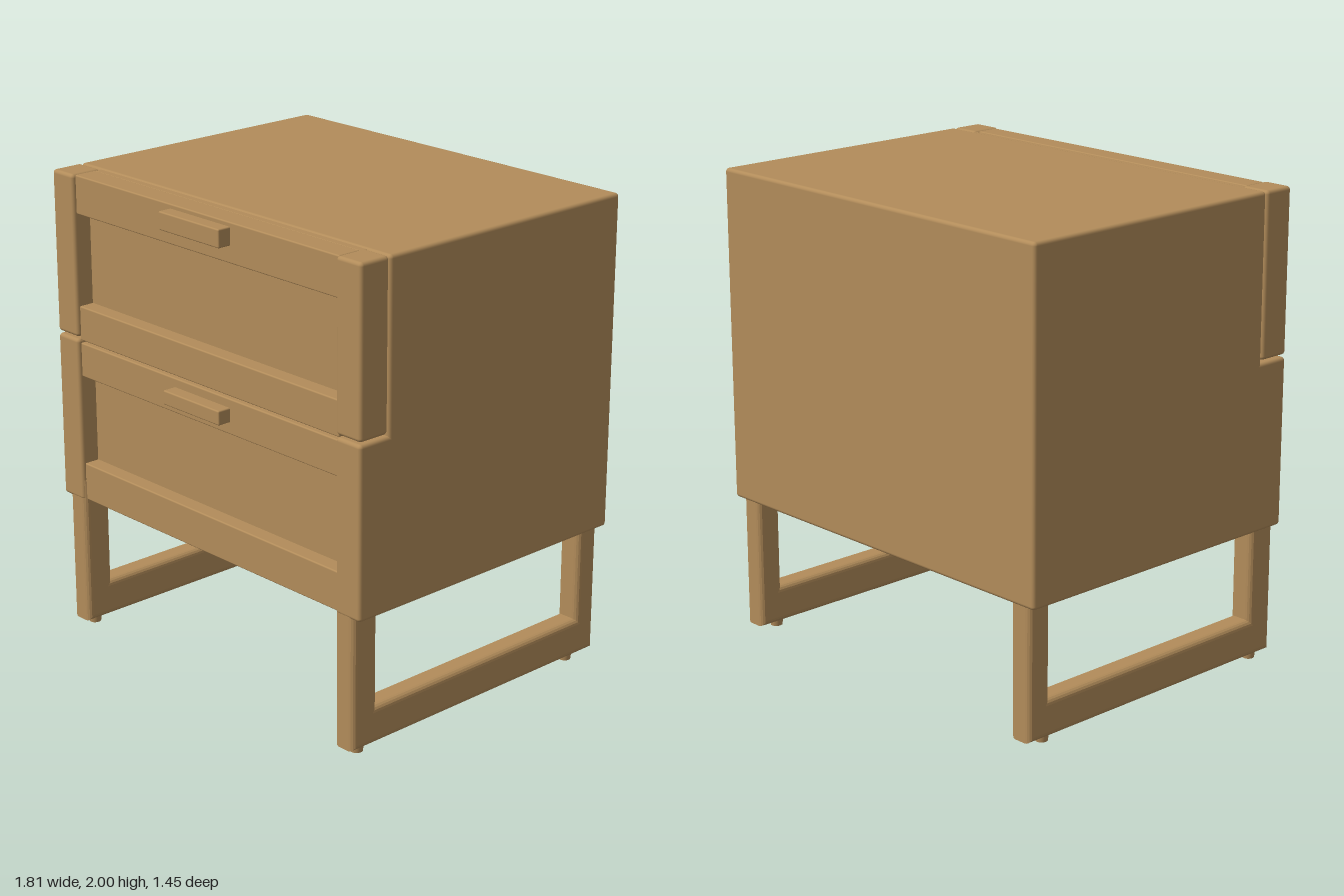
import * as THREE from 'three';
import { RoundedBoxGeometry } from 'three/addons/geometries/RoundedBoxGeometry.js';

export function createModel() {
  const model = new THREE.Group();
  model.name = 'nightstand';
  const wood = new THREE.MeshStandardMaterial({ color: 0xb28c5a });
  wood.name = 'oak wood';

  const add = (name, geometry, parent = model) => {
    const mesh = new THREE.Mesh(geometry, wood);
    mesh.name = name;
    parent.add(mesh);
    return mesh;
  };
  // Rounded block given by its extents on each axis
  const block = (name, [x0, x1], [y0, y1], [z0, z1], radius, parent) => {
    const geometry = new RoundedBoxGeometry(x1 - x0, y1 - y0, z1 - z0, 3, radius);
    geometry.translate((x0 + x1) / 2, (y0 + y1) / 2, (z0 + z1) / 2);
    return add(name, geometry, parent);
  };
  // Extents mirrored to one side
  const mirrored = (side, a, b) => (side > 0 ? [a, b] : [-b, -a]);

  // Cabinet body with a slightly recessed underside
  block('carcass', [-0.905, 0.905], [0.615, 2], [-0.72, 0.535], 0.015);
  block('drawerCore', [-0.78, 0.78], [0.615, 1.995], [0.4, 0.562], 0.004);
  block('backSkirt', [-0.905, 0.905], [0.59, 0.72], [-0.72, -0.67], 0.015);

  // Drawer fronts: recessed panel, two rails and a bar handle
  const drawers = [
    { name: 'upperDrawer', bottom: 1.298, ledge: 1.445, lintel: 1.835, top: 1.998,
      handle: [[-0.18, 0.175], [1.905, 1.98]] },
    { name: 'lowerDrawer', bottom: 0.592, ledge: 0.755, lintel: 1.14, top: 1.287,
      handle: [[-0.175, 0.16], [1.19, 1.25]] },
  ];
  for (const d of drawers) {
    const drawer = new THREE.Group();
    drawer.name = d.name;
    model.add(drawer);
    const width = [-0.775, 0.775];
    block('panel', width, [d.bottom + 0.02, d.top - 0.02], [0.55, 0.6], 0.003, drawer);
    block('bottomRail', width, [d.bottom, d.ledge], [0.565, 0.667], 0.006, drawer);
    block('topRail', width, [d.lintel, d.top], [0.565, 0.667], 0.006, drawer);
    block('handle', ...d.handle, [0.65, 0.725], 0.006, drawer);
  }

  // Sled leg outline in (z, y): a U whose open ends run up into the cabinet
  const bevel = 0.025;
  const outline = [
    [-0.705 + bevel, 0.66], [-0.705 + bevel, 0.03 + bevel],
    [0.68 - bevel, 0.03 + bevel], [0.68 - bevel, 0.66],
    [0.55 + bevel, 0.66], [0.55 + bevel, 0.19 - bevel],
    [-0.595 - bevel, 0.19 - bevel], [-0.595 - bevel, 0.66],
  ];
  const legShape = new THREE.Shape(outline.map(([z, y]) => new THREE.Vector2(z, y)));
  const legDepth = 0.105 - 2 * bevel;
  const legGeometry = new THREE.ExtrudeGeometry(legShape, {
    depth: legDepth, bevelEnabled: true, bevelSize: bevel, bevelThickness: bevel, bevelSegments: 4,
  });
  legGeometry.translate(0, 0, -legDepth / 2);
  legGeometry.rotateY(-Math.PI / 2);

  for (const side of [1, -1]) {
    const label = side > 0 ? 'left' : 'right';
    const stileX = mirrored(side, 0.772, 0.905);
    // Front corner stiles, the upper one parted by a fine seam
    block(label + 'UpperStile', stileX, [1.313, 2], [0.54, 0.682], 0.015);
    block(label + 'LowerStile', stileX, [0.59, 1.303], [0.48, 0.682], 0.015);
    block(label + 'SideSkirt', mirrored(side, 0.76, 0.905), [0.59, 0.72], [-0.72, 0.6], 0.015);

    // Sled leg with two small glides
    add(label + 'Leg', legGeometry).position.x = side * 0.817;
    for (const z of [0.61, -0.59]) {
      const glide = add(label + 'Glide', new THREE.CylinderGeometry(0.03, 0.025, 0.04, 20));
      glide.position.set(side * 0.817, 0.02, z);
    }
  }
  return model;
}
